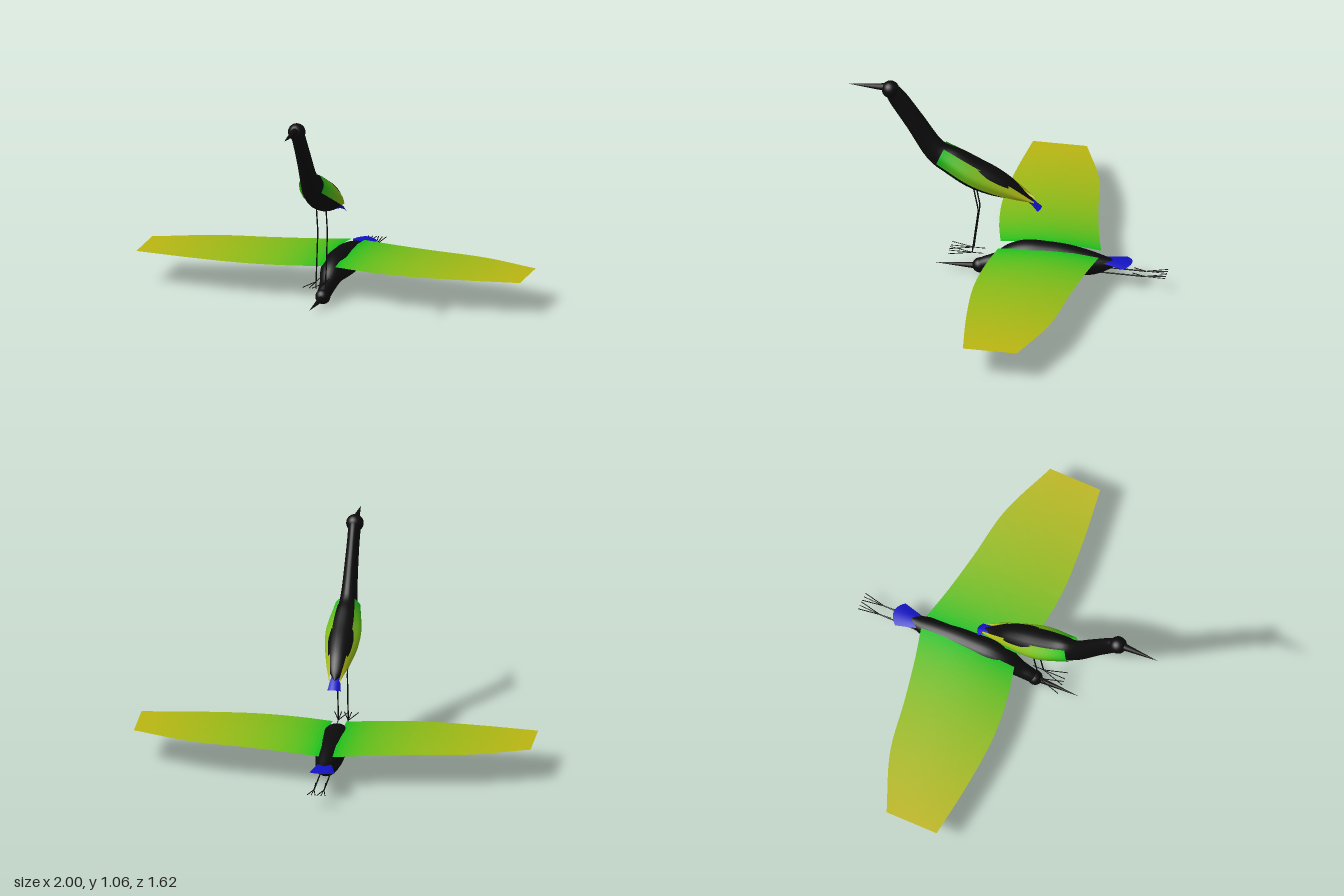
import * as THREE from 'three';

const V = (x, y, z) => new THREE.Vector3(x, y, z);
const material = (color) => new THREE.MeshStandardMaterial({ color, side: THREE.DoubleSide });
const black = material(0x0b0b0b);
const blue = material(0x1212c4);

// Wing colours run from green to yellow, one per strip
const STRIPS = 32;
const wingColours = Array.from({ length: STRIPS }, (_, i) => material(
  new THREE.Color(0x08c01c).lerp(new THREE.Color(0xbdb512), (i + 0.5) / STRIPS)));

function add(parent, name, geometry, mat) {
  const mesh = new THREE.Mesh(geometry, mat);
  mesh.name = name;
  parent.add(mesh);
  return mesh;
}

// Surface through rows of points; each row pair is a group for its own colour
function surface(rows, closed = false) {
  const n = rows[0].length;
  const geometry = new THREE.BufferGeometry().setFromPoints(rows.flat());
  const index = [];
  const perRow = (closed ? n : n - 1) * 6;
  for (let i = 0; i < rows.length - 1; i++) {
    for (let j = 0; j < perRow / 6; j++) {
      const a = i * n + j, b = i * n + (j + 1) % n;
      index.push(a, a + n, b, b, a + n, b + n);
    }
    geometry.addGroup(i * perRow, perRow, i);
  }
  geometry.setIndex(index);
  geometry.computeVertexNormals();
  return geometry;
}

// Smoothly sample a list of points at STRIPS + 1 places
function sample(points, count = STRIPS) {
  const curve = new THREE.CatmullRomCurve3(points);
  return Array.from({ length: count + 1 }, (_, i) => curve.getPoint(i / count));
}

// Oval loft; sections are [top z, top y, bottom z, bottom y, half width]
function body(sections) {
  const top = sample(sections.map((s) => V(s[4], s[1], s[0])), 40);
  const bottom = sample(sections.map((s) => V(s[4], s[3], s[2])), 40);
  const rows = top.map((t, i) => Array.from({ length: 24 }, (_, j) => {
    const a = j / 24 * Math.PI * 2, k = (1 + Math.cos(a)) / 2;
    const p = bottom[i].clone().lerp(t, k);
    p.x = t.x * Math.sin(a);
    return p;
  }));
  const geometry = surface(rows, true);
  geometry.clearGroups();
  return geometry;
}

// Round head with a slender tapering bill
function head(parent, centre, radius, billStart, billEnd, billRadius) {
  add(parent, 'head', new THREE.SphereGeometry(radius, 24, 16), black).position.copy(centre);
  const length = billEnd.distanceTo(billStart);
  const bill = add(parent, 'bill', new THREE.ConeGeometry(billRadius, length, 12), black);
  bill.position.copy(billStart).lerp(billEnd, 0.5);
  bill.quaternion.setFromUnitVectors(V(0, 1, 0), billEnd.clone().sub(billStart).normalize());
}

// Thin limb following straight segments
function limb(parent, name, points, radius) {
  const path = new THREE.CurvePath();
  for (let i = 1; i < points.length; i++) path.add(new THREE.LineCurve3(points[i - 1], points[i]));
  add(parent, name, new THREE.TubeGeometry(path, 8 * (points.length - 1), radius, 6), black);
}

// Leg with three spread front toes and one hind toe
function leg(parent, joints, toeTip, hindTip, spread) {
  for (const side of [-1, 1]) {
    const group = new THREE.Group();
    group.name = side > 0 ? 'leftLeg' : 'rightLeg';
    const at = (p, dx = 0) => V(side * 0.025 + dx, p[0], p[1]);
    limb(group, 'shank', joints.map((p) => at(p)), 0.0035);
    const foot = joints[joints.length - 1];
    for (const d of [-1, 0, 1]) limb(group, 'toe', [at(foot), at(toeTip, d * spread)], 0.0022);
    limb(group, 'hindToe', [at(foot), at(hindTip)], 0.0022);
    parent.add(group);
  }
}

// Fan tail; rows are [half width, y, z, extra z at the middle]
function tail(parent, rows) {
  add(parent, 'tail', surface(rows.map(([w, y, z, bow]) => Array.from({ length: 13 }, (_, j) => {
    const u = j / 6 - 1;
    return V(w * u, y + 0.008 * (1 - u * u), z - bow * (1 - u * u));
  }))), blue).geometry.clearGroups();
}

function standingBird() {
  const bird = new THREE.Group();
  bird.name = 'standingBird';
  add(bird, 'bodyAndNeck', body([
    [0.56, 1.05, 0.605, 0.99, 0.034],
    [0.52, 1.02, 0.587, 0.95, 0.031],
    [0.42, 0.885, 0.498, 0.81, 0.034],
    [0.31, 0.735, 0.385, 0.63, 0.045],
    [0.23, 0.70, 0.30, 0.57, 0.064],
    [0.14, 0.655, 0.19, 0.505, 0.076],
    [0.04, 0.605, 0.08, 0.468, 0.07],
    [-0.04, 0.55, -0.02, 0.453, 0.053],
    [-0.10, 0.485, -0.10, 0.447, 0.028],
    [-0.145, 0.45, -0.145, 0.447, 0.002],
  ]), black);
  head(bird, V(0, 1.02, 0.582), 0.044, V(0, 1.03, 0.61), V(0, 1.03, 0.80), 0.019);

  // Folded wings wrap the flanks: upper edge, middle and lower edge lines
  for (const side of [-1, 1]) {
    const line = (pts) => sample(pts.map(([x, y, z]) => V(side * x, y, z)));
    const upper = line([[0.038, 0.72, 0.305], [0.05, 0.645, 0.16], [0.042, 0.545, -0.02], [0.022, 0.45, -0.15]]);
    const middle = line([[0.064, 0.68, 0.325], [0.088, 0.595, 0.16], [0.064, 0.515, -0.01], [0.029, 0.447, -0.15]]);
    const lower = line([[0.056, 0.64, 0.34], [0.081, 0.546, 0.16], [0.058, 0.483, 0], [0.022, 0.443, -0.15]]);
    const rows = upper.map((u, i) => sample([u, middle[i], lower[i]], 8));
    add(bird, side > 0 ? 'leftFoldedWing' : 'rightFoldedWing', surface(rows), wingColours);
  }
  tail(bird, [[0.018, 0.465, -0.09, 0], [0.027, 0.435, -0.14, 0], [0.034, 0.402, -0.17, 0.015]]);
  leg(bird, [[0.50, 0.156], [0.375, 0.132], [0.123, 0.163]], [0.123, 0.28], [0.123, 0.105], 0.035);
  return bird;
}

function flyingBird() {
  const bird = new THREE.Group();
  bird.name = 'flyingBird';
  add(bird, 'bodyAndNeck', body([
    [0.155, 0.062, 0.14, 0.005, 0.03],
    [0.11, 0.087, 0.085, 0.017, 0.036],
    [0.06, 0.11, 0.03, 0.036, 0.042],
    [-0.01, 0.167, -0.04, 0.057, 0.06],
    [-0.10, 0.20, -0.12, 0.053, 0.072],
    [-0.22, 0.202, -0.24, 0.042, 0.074],
    [-0.32, 0.195, -0.35, 0.04, 0.07],
    [-0.43, 0.173, -0.46, 0.055, 0.055],
    [-0.52, 0.147, -0.535, 0.093, 0.032],
    [-0.575, 0.133, -0.575, 0.122, 0.004],
  ]), black);
  head(bird, V(0, 0.038, 0.128), 0.038, V(0, 0.033, 0.15), V(0, 0.03, 0.366), 0.016);

  // Spread wings: cambered at the root, flat at the tip
  for (const side of [-1, 1]) {
    const front = sample([[0.035, 0.03], [0.2, 0.066], [0.42, 0.088], [0.7, 0.073], [1, 0.037]]
      .map(([x, z]) => V(x, 0.166, z)));
    const back = sample([[0.035, -0.48], [0.2, -0.44], [0.42, -0.398], [0.7, -0.352], [1, -0.237]]
      .map(([x, z]) => V(x, 0.166, z)));
    const rows = front.map((f, i) => Array.from({ length: 13 }, (_, j) => {
      const p = f.clone().lerp(back[i], j / 12);
      p.y += 0.02 * (1 - f.x) * Math.sin(j / 12 * Math.PI);
      p.x *= side;
      return p;
    }));
    add(bird, side > 0 ? 'leftSpreadWing' : 'rightSpreadWing', surface(rows), wingColours);
  }
  tail(bird, [[0.028, 0.135, -0.48, 0], [0.045, 0.132, -0.54, 0.01], [0.064, 0.128, -0.61, 0.035]]);
  leg(bird, [[0.078, -0.42], [0.076, -0.71]], [0.087, -0.82], [0.09, -0.65], 0.02);
  return bird;
}

export function createModel() {
  const model = new THREE.Group();
  model.name = 'pairOfBirds';
  model.add(standingBird(), flyingBird());
  return model;
}
